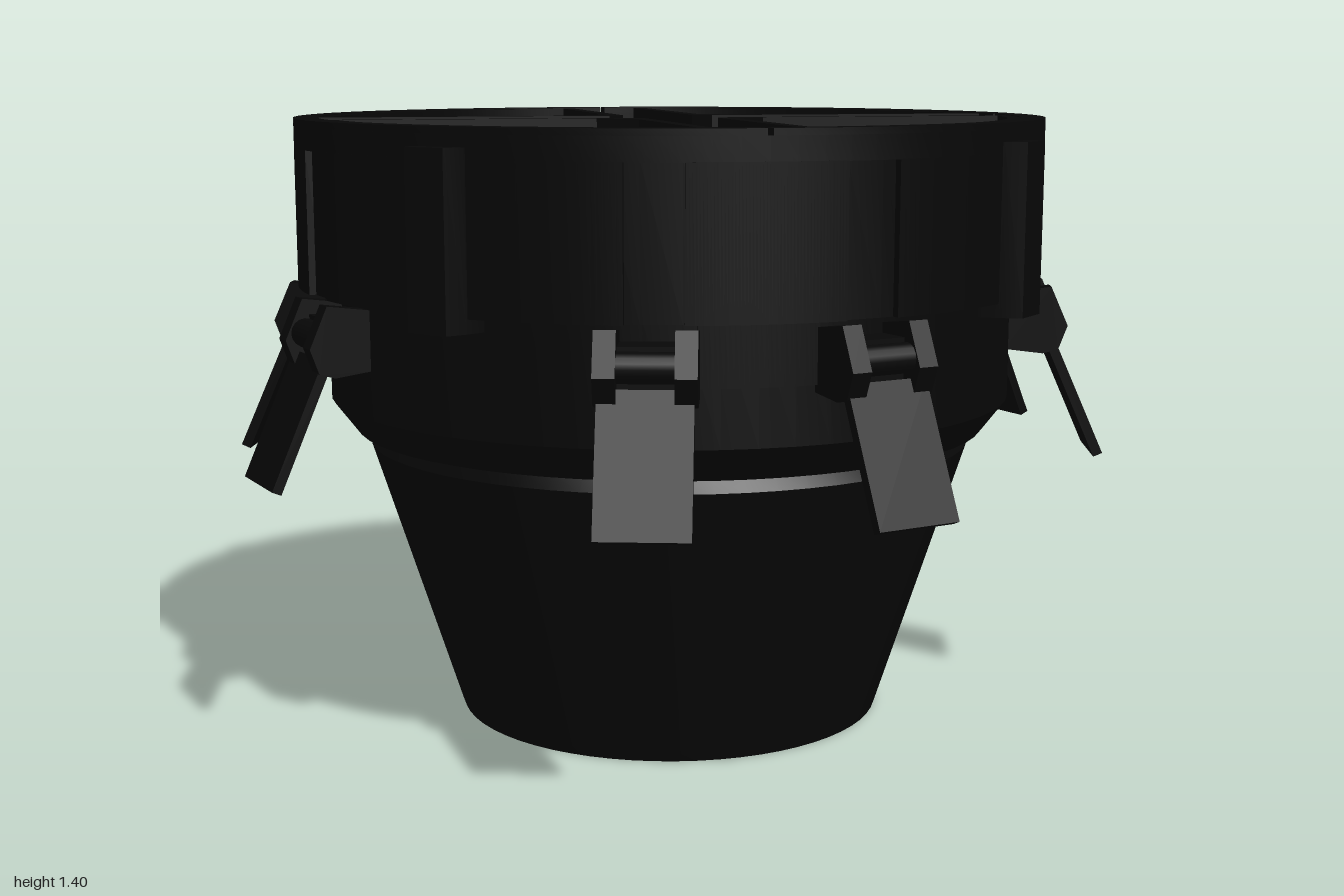
import * as THREE from 'three';
import { toCreasedNormals } from 'three/addons/utils/BufferGeometryUtils.js';

const black = new THREE.MeshStandardMaterial({ color: 0x070707 });
black.name = 'matte black';
const rad = THREE.MathUtils.degToRad;

function add(parent, name, geometry, x = 0, y = 0, z = 0) {
  const mesh = new THREE.Mesh(geometry, black);
  mesh.name = name;
  mesh.position.set(x, y, z);
  parent.add(mesh);
  return mesh;
}

const outline = points => new THREE.Shape(points.map(p => new THREE.Vector2(...p)));

// Plan shape raised from y0 to y1 (shape y becomes -z)
function raise(shape, y0, y1) {
  const g = new THREE.ExtrudeGeometry(shape, { depth: y1 - y0, bevelEnabled: false, curveSegments: 12 });
  g.rotateX(-Math.PI / 2).translate(0, y0, 0);
  return toCreasedNormals(g, 0.5);
}

// Curved panel between two radii and two angles in degrees
function arcPanel(r0, r1, a0, a1, y0, y1) {
  const s = new THREE.Shape();
  s.absarc(0, 0, r1, rad(a0), rad(a1), false);
  s.absarc(0, 0, r0, rad(a1), rad(a0), true);
  return raise(s, y0, y1);
}

// Quarter disc kept a margin m off both axes, its inner corner cut by c
function quarter(path, R, m, c) {
  const a = Math.asin(m / R);
  path.moveTo(m, m + c);
  path.lineTo(m + c, m);
  path.lineTo(R * Math.cos(a), m);
  path.absarc(0, 0, R, a, Math.PI / 2 - a, false);
  path.closePath();
  return path;
}

// Side profile (radius, height) with a width across
function ear(points, width) {
  return new THREE.ExtrudeGeometry(outline(points), { depth: width, bevelEnabled: false })
    .translate(0, 0, -width / 2);
}

function quadrant() {
  const q = new THREE.Group();
  q.name = 'topQuadrant';

  // Quarter plate with a chamfered pocket
  const plate = quarter(new THREE.Shape(), 0.815, 0.085, 0.04);
  plate.holes.push(quarter(new THREE.Path(), 0.78, 0.115, 0.08));
  add(q, 'quarterPlate', raise(plate, 1.26, 1.398));

  // Rim, notched at its ends along the top
  add(q, 'rim', arcPanel(0.81, 0.865, 0, 90, 1.335, 1.386));
  add(q, 'rimCap', arcPanel(0.81, 0.865, 0.4, 89.6, 1.386, 1.4));

  // Channel floor between the plates, with a fine groove along its middle
  for (const s of [-1, 1])
    add(q, 'channelFloor', new THREE.BoxGeometry(0.815, 0.11, 0.086), 0.4075, 1.315, s * 0.047);

  // Raised shell panels with channels above the latches
  for (const [a0, a1] of [[0, 11], [19, 39], [39, 51], [51, 71], [79, 90]])
    add(q, 'shellPanel', arcPanel(0.83, 0.865, a0, a1, 1.02, 1.336));

  // Pocket details
  add(q, 'puck', new THREE.CylinderGeometry(0.11, 0.115, 0.1, 32), 0.28, 1.308, -0.28);
  const web = add(q, 'puckWeb', new THREE.BoxGeometry(0.12, 0.08, 0.16), 0.21, 1.305, -0.21);
  web.rotation.y = Math.PI / 4;
  add(q, 'pad', new THREE.BoxGeometry(0.05, 0.05, 0.05), 0.47, 1.29, -0.27);
  add(q, 'pad', new THREE.BoxGeometry(0.05, 0.05, 0.05), 0.27, 1.29, -0.47);
  add(q, 'padRail', new THREE.BoxGeometry(0.04, 0.03, 0.12), 0.47, 1.28, -0.26);
  add(q, 'padRail', new THREE.BoxGeometry(0.12, 0.03, 0.04), 0.26, 1.28, -0.47);

  // Diagonal lug on the shell, flared at its root
  const lug = outline([[0.82, -0.075], [0.865, -0.065], [0.91, -0.048], [0.91, 0.048], [0.865, 0.065], [0.82, 0.075]]);
  add(q, 'sideLug', raise(lug, 0.99, 1.36)).rotation.y = Math.PI / 4;

  // Skirt tab below the shell
  add(q, 'skirtTab', arcPanel(0.78, 0.805, -9, 9, 0.885, 1.03));
  return q;
}

function latch() {
  const l = new THREE.Group();
  l.name = 'latch';
  const side = [[0.78, 0.87], [0.87, 0.86], [0.905, 0.87], [0.925, 0.925], [0.885, 1.015], [0.78, 1.0]];
  for (const s of [-1, 1])
    add(l, 'latchEar', ear(side, 0.045), 0, 0, s * 0.08);
  add(l, 'latchBlock', new THREE.BoxGeometry(0.09, 0.1, 0.12), 0.825, 0.93, 0);
  const pin = add(l, 'latchPin', new THREE.CylinderGeometry(0.032, 0.032, 0.14, 16), 0.88, 0.94, 0);
  pin.rotation.x = Math.PI / 2;
  const flap = add(l, 'latchFlap', new THREE.BoxGeometry(0.022, 0.3, 0.192), 0.945, 0.758, 0);
  flap.rotation.z = 0.418;
  return l;
}

export function createModel() {
  const model = new THREE.Group();
  model.name = 'canister';

  // Tapered hollow base, collar and drum in one turned profile
  const profile = [
    [0, 0.27], [0.46, 0.27], [0.47, 0.01], [0.48, 0], [0.5, 0], [0.507, 0.02],
    [0.708, 0.65], [0.69, 0.68], [0.74, 0.685], [0.797, 0.76], [0.797, 1.02],
    [0.85, 1.02], [0.85, 1.34], [0.8, 1.34], [0.8, 1.27], [0, 1.27],
  ].map(p => new THREE.Vector2(...p));
  add(model, 'body', toCreasedNormals(new THREE.LatheGeometry(profile, 64), 0.4));

  // Four quarters, each with a pair of latches
  for (let i = 0; i < 4; i++) {
    const q = quadrant();
    q.rotation.y = i * Math.PI / 2;
    model.add(q);
    for (const s of [-1, 1]) {
      const l = latch();
      l.rotation.y = i * Math.PI / 2 + s * rad(16);
      model.add(l);
    }
  }
  return model;
}
